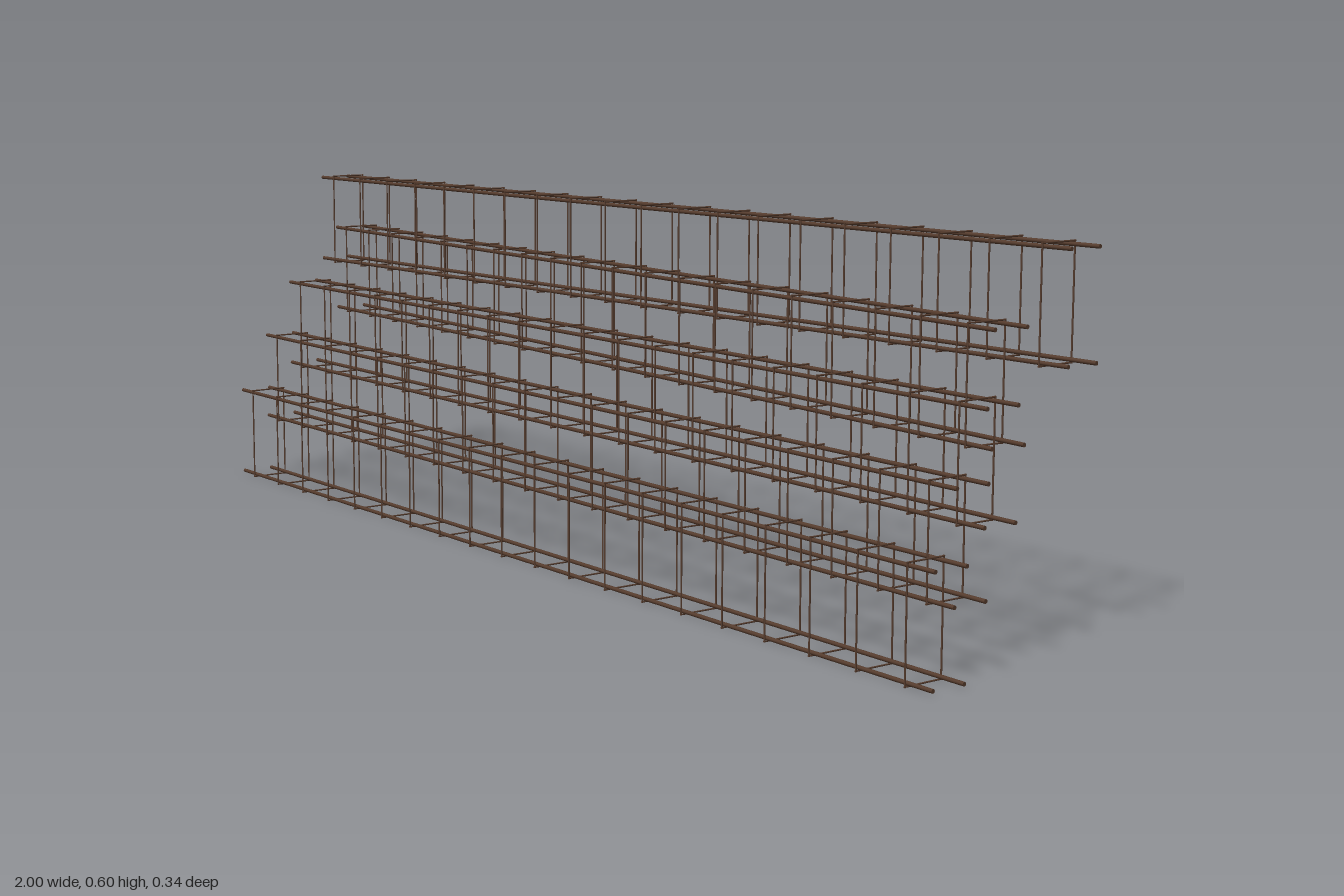
import * as THREE from 'three';

const LENGTH = 1.977;
const BAR_R = 0.0033, TIE_R = 0.0014;
const HALF_H = 0.0872, HALF_W = 0.0344;   // tie centre lines
const TIES = 20, PITCH = 0.0988;

export function createModel() {
  const steel = new THREE.MeshStandardMaterial({ color: 0x553b2c });
  steel.name = 'rusty steel';

  // rods along x, y and z
  const barGeo = new THREE.CylinderGeometry(BAR_R, BAR_R, LENGTH, 10).rotateZ(Math.PI / 2);
  const uprightGeo = new THREE.CylinderGeometry(TIE_R, TIE_R, 2 * (HALF_H + TIE_R), 8);
  const crossGeo = new THREE.CylinderGeometry(TIE_R, TIE_R, 2 * (HALF_W + TIE_R), 8).rotateX(Math.PI / 2);

  const rod = (parent, name, geo, x, y, z) => {
    const mesh = new THREE.Mesh(geo, steel);
    mesh.name = name;
    mesh.position.set(x, y, z);
    parent.add(mesh);
  };

  // one rectangular tie wrapped around the four bars
  function makeTie(x) {
    const tie = new THREE.Group();
    tie.name = 'tie';
    tie.position.x = x;
    for (const s of [-1, 1]) {
      rod(tie, 'tieUpright', uprightGeo, 0, 0, s * HALF_W);
      rod(tie, 'tieCrosspiece', crossGeo, 0, s * HALF_H, 0);
    }
    return tie;
  }

  // a cage: four long bars tucked into the corners of evenly spaced ties
  function makeCage() {
    const cage = new THREE.Group();
    const inset = BAR_R + TIE_R;
    for (const sy of [-1, 1])
      for (const sz of [-1, 1])
        rod(cage, 'longBar', barGeo, 0, sy * (HALF_H - inset), sz * (HALF_W - inset));
    for (let i = 0; i < TIES; i++) cage.add(makeTie((i - (TIES - 1) / 2) * PITCH));
    return cage;
  }

  const model = new THREE.Group();
  model.name = 'reinforcementCages';

  // stacked cages from bottom to top: [x, z, slope of z along x]
  const layout = [
    [0.0115, 0.1265, -0.0072],
    [-0.004, 0.0677, -0.0008],
    [0.0, 0.016, 0.0008],
    [-0.0115, -0.055, 0.0478],
    [0.003, -0.098, -0.0375],
  ];
  layout.forEach(([x, z, slope], i) => {
    const cage = makeCage();
    cage.name = 'cage' + (i + 1);
    cage.position.set(x, HALF_H + TIE_R + i * 0.1052, z);
    cage.rotation.y = -Math.atan(slope);
    model.add(cage);
  });
  return model;
}
